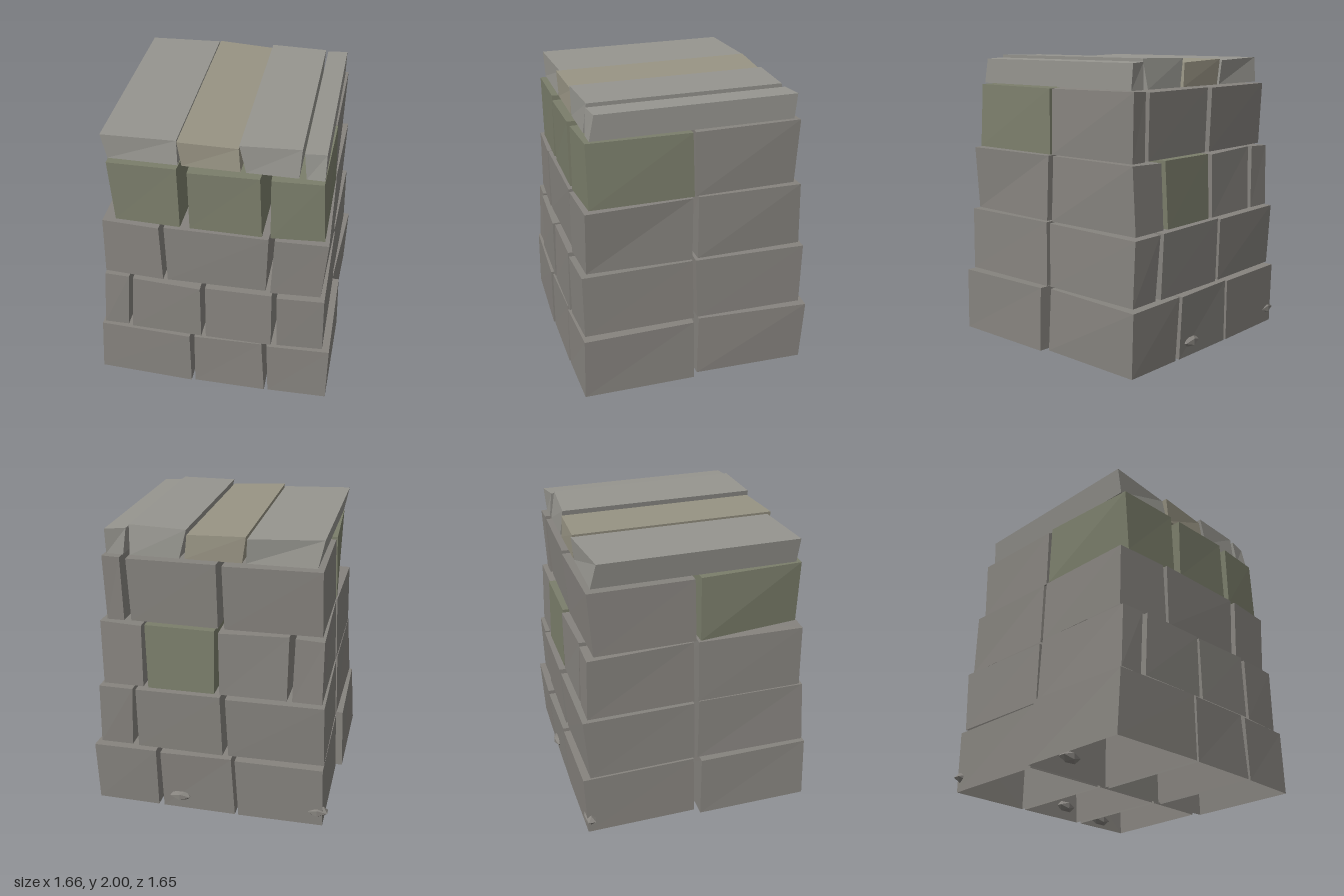
import * as THREE from 'three';

const STONE = 0x86837e, MOSS = 0x7b7e6b, SLAB = 0x96958f, SAND = 0x989484;
const COURSE_HEIGHT = 0.4515;

// seeded jitter
let seed = 7;
function jitter(a) {
  seed = (seed * 16807) % 2147483647;
  return (seed / 2147483647 - 0.5) * 2 * a;
}

function stoneMesh(geometry, color, name) {
  const material = new THREE.MeshStandardMaterial({ color, flatShading: true, side: THREE.DoubleSide });
  const mesh = new THREE.Mesh(geometry, material);
  mesh.name = name;
  return mesh;
}

// box, open underneath, whose eight corners are moved by place(x, y, z), each given as 0 or 1
function cornerBox(place, color, name) {
  const g = new THREE.BoxGeometry(1, 1, 1);
  const faces = Array.from(g.index.array);
  faces.splice(18, 6); // the underside
  g.setIndex(faces);
  const p = g.attributes.position;
  const corners = {};
  for (let i = 0; i < p.count; i++) {
    const k = [p.getX(i), p.getY(i), p.getZ(i)].map((v) => (v > 0 ? 1 : 0));
    const key = k.join('');
    corners[key] = corners[key] || place(...k);
    p.setXYZ(i, ...corners[key]);
  }
  g.computeVertexNormals();
  return stoneMesh(g, color, name);
}

// x of the ends and seams of each course, as [bottom, top]
const frontSeams = [
  [[-0.83, -0.8], [-0.14, -0.15], [0.39, 0.37], [0.82, 0.82]],
  [[-0.78, -0.75], [-0.59, -0.57], [-0.06, -0.06], [0.44, 0.42], [0.77, 0.76]],
  [[-0.75, -0.74], [-0.33, -0.34], [0.37, 0.39], [0.73, 0.76]],
  [[-0.65, -0.68], [-0.18, -0.19], [0.35, 0.34], [0.73, 0.7]],
];
const backSeams = [
  [[-0.79, -0.78], [-0.19, -0.17], [0.35, 0.36], [0.81, 0.82]],
  [[-0.78, -0.77], [-0.11, -0.1], [0.53, 0.52], [0.78, 0.77]],
  [[-0.75, -0.75], [-0.54, -0.54], [-0.05, -0.04], [0.45, 0.45], [0.74, 0.75]],
  [[-0.73, -0.72], [-0.07, -0.06], [0.57, 0.58], [0.71, 0.72]],
];
// distance of the outer faces from the middle, as [bottom, top]
const frontDepth = [[0.82, 0.815], [0.8, 0.795], [0.76, 0.765], [0.735, 0.735]];
const backDepth = [[0.8, 0.82], [0.775, 0.8], [0.765, 0.75], [0.71, 0.73]];

// one row of stones: side is 1 for the front row, -1 for the back row
function addRow(group, seams, depths, level, side) {
  const last = seams.length - 1;
  const innerEnd = side > 0 ? [0.83, 0.77, 0.75, 0.73][level] : 0.785 - 0.02 * level;
  const mossy = (i) => (side > 0 ? level === 3 : level === 2 && i === 2);
  const gap = level === 3 && side > 0 ? 0.03 : 0.017;
  for (let i = 0; i < last; i++) {
    const place = (x, y, z) => {
      const outer = (z === 1) === (side > 0);
      const atEnd = i + x === 0 || i + x === last;
      let px = seams[i + x][y];
      if (!atEnd) px += (x ? -1 : 1) * (outer ? gap + jitter(0.008) : 0.012 + jitter(0.008));
      else if (!outer) px = (x ? 1 : -1) * (innerEnd - 0.015 * y);
      // faces bow out slightly at the middle of each row
      const bow = (side > 0 ? 0.035 : 0.02) * px * px;
      const pz = outer ? depths[y] - bow + jitter(0.008) : 0.015 + jitter(0.012);
      return [px, level * COURSE_HEIGHT + (y ? 0.443 + jitter(0.008) : 0), side * pz];
    };
    group.add(cornerBox(place, mossy(i) ? MOSS : STONE, side > 0 ? 'frontStone' : 'backStone'));
  }
}

// cap slabs: x ends at the bottom and top, y of the top, z of the back and front ends
const slabs = [
  { bottom: [-0.68, -0.225], top: [-0.715, -0.235], ys: [1.98, 1.97], back: [-0.65, -0.7], front: [0.69, 0.66] },
  { bottom: [-0.2, 0.175], top: [-0.225, 0.16], ys: [1.98, 1.965], back: [-0.69, -0.68], front: [0.69, 0.67] },
  { bottom: [0.21, 0.54], top: [0.165, 0.55], ys: [1.995, 2], back: [-0.67, -0.65], front: [0.68, 0.66] },
  { bottom: [0.585, 0.7], top: [0.565, 0.7], ys: [1.98, 1.975], back: [-0.67, -0.7], front: [0.67, 0.65] },
];

export function createModel() {
  seed = 7;
  const model = new THREE.Group();
  model.name = 'stonePillar';

  // stacked courses, two rows deep
  for (let level = 0; level < 4; level++) {
    const course = new THREE.Group();
    course.name = 'course' + (level + 1);
    addRow(course, frontSeams[level], frontDepth[level], level, 1);
    addRow(course, backSeams[level], backDepth[level], level, -1);
    model.add(course);
  }

  // long cap slabs, flaring a little towards the top
  const cap = new THREE.Group();
  cap.name = 'cap';
  slabs.forEach(({ bottom, top, ys, back, front }, i) => {
    cap.add(cornerBox((x, y, z) => [
      (y ? top : bottom)[x],
      y ? ys[x] : 4 * COURSE_HEIGHT,
      y ? (z ? front : back)[x] : (z ? 0.685 : -0.685),
    ], i === 1 ? SAND : SLAB, 'capSlab'));
  });
  model.add(cap);

  // small pebbles lodged in and under the lowest course
  for (const [x, y, z] of [[0.21, 0.1, -0.79], [-0.75, 0.1, -0.77], [0.54, 0.05, -0.75], [-0.65, 0.05, 0.2]]) {
    const pebble = stoneMesh(new THREE.IcosahedronGeometry(0.07, 0).scale(1.2, 0.6, 0.7), STONE, 'pebble');
    pebble.position.set(x, y, z);
    model.add(pebble);
  }
  return model;
}
